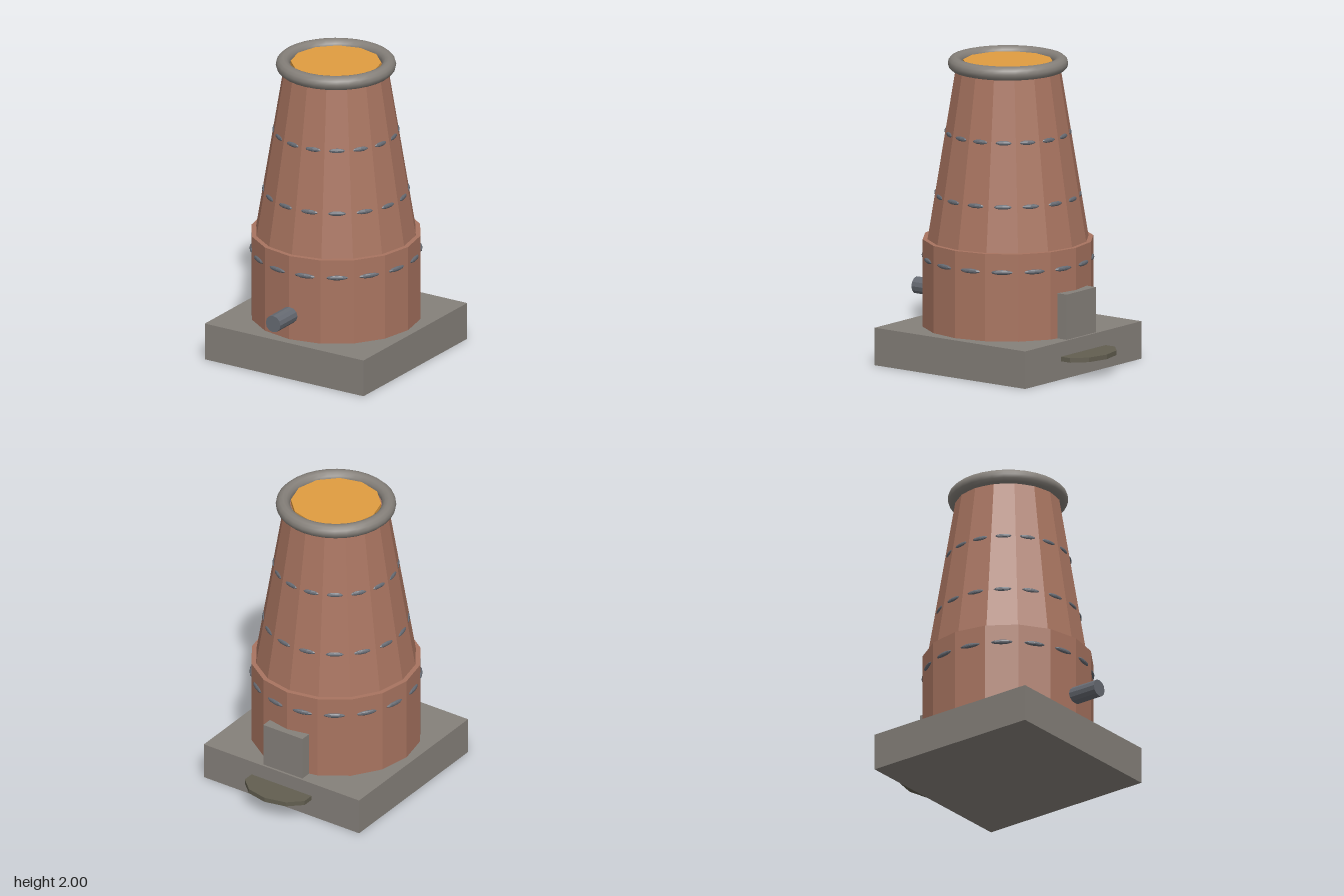
import * as THREE from 'three';

const paint = (color, flatShading = true) => new THREE.MeshStandardMaterial({ color, flatShading });

export function createModel() {
  const model = new THREE.Group();
  const brick = paint(0xa87460);
  const stone = paint(0x85807a);
  const smoothStone = paint(0x85807a, false);
  const steel = paint(0x666a72);
  const slag = paint(0x625e50);
  const glow = paint(0xe09c40);

  const SIDES = 16;
  const CENTRE_Z = 0.03; // axis of the tower

  function add(name, geometry, material, x, y, z, parent = model) {
    const mesh = new THREE.Mesh(geometry, material);
    mesh.name = name;
    mesh.position.set(x, y, z);
    parent.add(mesh);
    return mesh;
  }

  // Square plinth
  add('base', new THREE.BoxGeometry(1.21, 0.245, 1.22), stone, 0, 0.1225, CENTRE_Z);

  // Wide lower drum and tapering stack
  add('lowerDrum', new THREE.CylinderGeometry(0.55, 0.55, 0.57, SIDES), brick, 0, 0.53, CENTRE_Z);
  add('stack', new THREE.CylinderGeometry(0.335, 0.52, 1.13, SIDES), brick, 0, 1.375, CENTRE_Z);

  // Rounded rim with the molten surface inside
  const rim = add('rim', new THREE.TorusGeometry(0.34, 0.046, 12, 32), smoothStone, 0, 1.954, CENTRE_Z);
  rim.rotation.x = Math.PI / 2;
  add('moltenSurface', new THREE.CylinderGeometry(0.29, 0.29, 0.04, 12), glow, 0, 1.95, CENTRE_Z);

  // Rows of flattened studs, one at the middle of each facet
  const apothem = Math.cos(Math.PI / SIDES);
  const studGeometry = new THREE.SphereGeometry(1, 8, 6);
  const rows = [
    { y: 0.695, radius: 0.55, tilt: 0 },
    { y: 1.105, radius: 0.468, tilt: -0.16 },
    { y: 1.51, radius: 0.401, tilt: -0.16 },
  ];
  rows.forEach(({ y, radius, tilt }, i) => {
    const row = new THREE.Group();
    row.name = `studRow${i + 1}`;
    row.position.set(0, y, CENTRE_Z);
    model.add(row);
    for (let k = 0; k < SIDES; k++) {
      const angle = ((k + 0.5) / SIDES) * Math.PI * 2;
      const r = radius * apothem;
      const stud = add('stud', studGeometry, steel, Math.sin(angle) * r, 0, Math.cos(angle) * r, row);
      stud.scale.set(radius * 0.065 + 0.034, 0.016, 0.014);
      stud.rotation.set(tilt, angle, 0, 'YXZ');
    }
  });

  // Pipe at the front
  const pipe = add('frontPipe', new THREE.CylinderGeometry(0.056, 0.056, 0.27, 12), steel, 0, 0.41, 0.635);
  pipe.rotation.x = Math.PI / 2;

  // Door and tapping lip at the back
  add('backDoor', new THREE.BoxGeometry(0.305, 0.3, 0.075), stone, 0, 0.39, -0.527);
  const lip = add('tappingLip', new THREE.CylinderGeometry(0.245, 0.245, 0.03, 10), slag, 0, 0.135, -0.604);
  lip.scale.z = 0.68;
  lip.rotation.y = Math.PI;

  return model;
}
